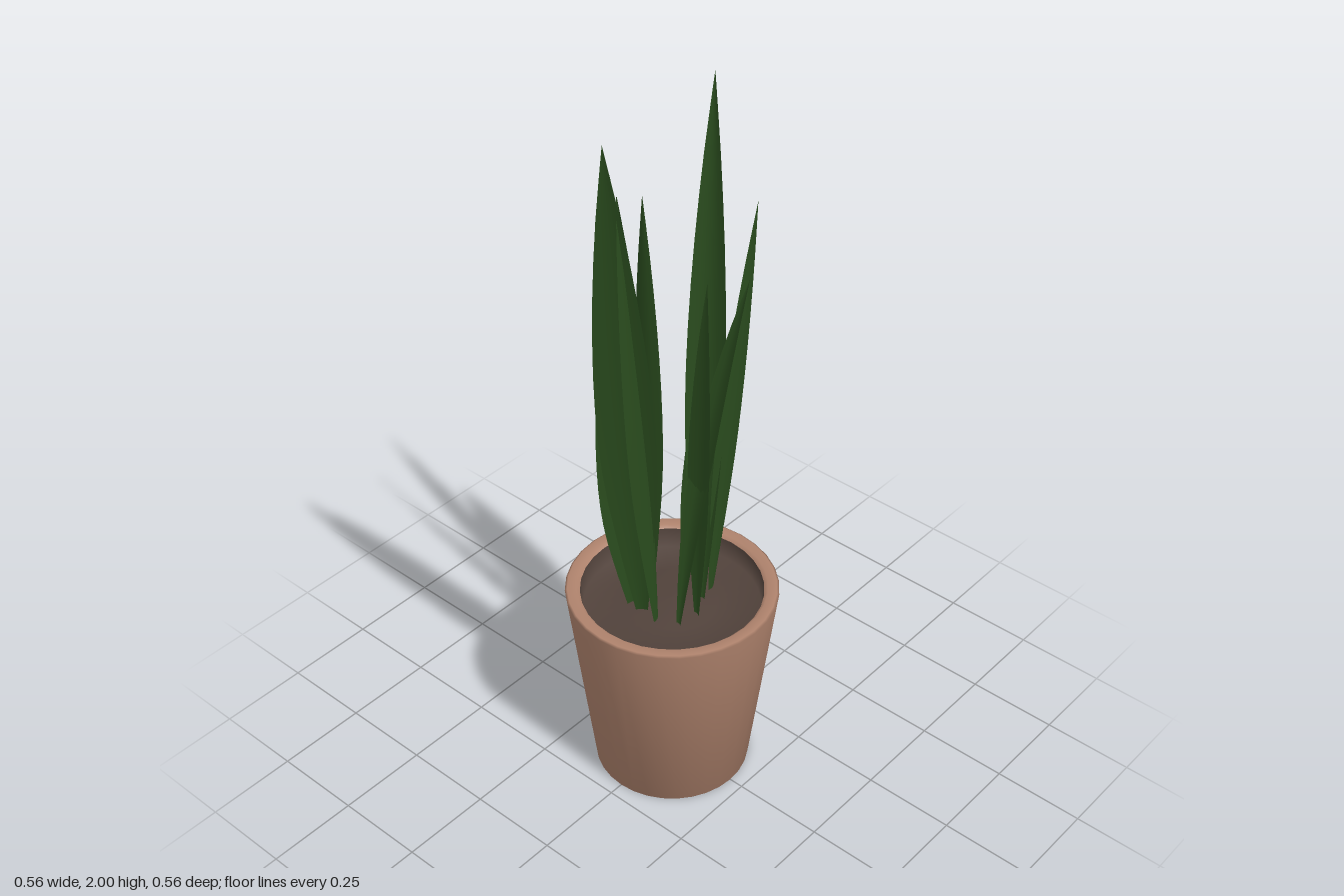
import * as THREE from 'three';

const terracotta = new THREE.MeshStandardMaterial({ color: 0xae826c });
terracotta.name = 'terracotta';
const earth = new THREE.MeshStandardMaterial({ color: 0x51423b });
earth.name = 'earth';
const leafGreen = new THREE.MeshStandardMaterial({ color: 0x2a4c1e, side: THREE.DoubleSide });
leafGreen.name = 'leafGreen';

const LEAF_FOOT_Y = 0.53;

function lathe(points, material, name) {
  const profile = points.map(([r, y]) => new THREE.Vector2(r, y));
  const mesh = new THREE.Mesh(new THREE.LatheGeometry(profile, 32), material);
  mesh.name = name;
  return mesh;
}

// Half-width of a blade along its length: narrow foot, full middle, pointed tip
const outline = new THREE.SplineCurve([
  [0, 0.22], [0.15, 0.6], [0.32, 0.94], [0.48, 1], [0.66, 0.82], [0.84, 0.46], [1, 0],
].map(([t, w]) => new THREE.Vector2(t, w)));

// Cupped blade from a base [x, z] to a tip [x, y, z]; angle turns its width from +x towards +z,
// bow pushes the middle sideways by [x, z]
function leaf({ base, tip, width, angle, cup, bow = [0, 0] }) {
  const ROWS = 14, COLS = 4;
  const start = new THREE.Vector3(base[0], LEAF_FOOT_Y, base[1]);
  const end = new THREE.Vector3(...tip);
  const a = THREE.MathUtils.degToRad(angle);
  const across = new THREE.Vector3(Math.cos(a), 0, Math.sin(a));
  const facing = new THREE.Vector3(-Math.sin(a), 0, Math.cos(a));
  const bowed = new THREE.Vector3(bow[0], 0, bow[1]);
  const positions = [], indices = [];
  for (let i = 0; i <= ROWS; i++) {
    const { x: t, y } = outline.getPoint(i / ROWS);
    const w = Math.max(y, 0);
    const centre = start.clone().lerp(end, t).addScaledVector(bowed, 4 * t * (1 - t));
    for (let j = 0; j <= COLS; j++) {
      const s = (j / COLS) * 2 - 1;
      const p = centre.clone()
        .addScaledVector(across, s * w * width / 2)
        .addScaledVector(facing, cup * w * (s * s - 0.4));
      positions.push(p.x, p.y, p.z);
      if (i < ROWS && j < COLS) {
        const k = i * (COLS + 1) + j, up = k + COLS + 1;
        indices.push(k, k + 1, up, k + 1, up + 1, up);
      }
    }
  }
  const geometry = new THREE.BufferGeometry();
  geometry.setAttribute('position', new THREE.Float32BufferAttribute(positions, 3));
  geometry.setIndex(indices);
  geometry.computeVertexNormals();
  return new THREE.Mesh(geometry, leafGreen);
}

export function createModel() {
  const model = new THREE.Group();
  model.name = 'pottedPlant';

  // Tapered pot with a narrow rim, softly shaded across its edges
  model.add(lathe([
    [0, 0], [0.21, 0], [0.28, 0.576], [0.274, 0.58], [0.25, 0.58], [0.241, 0.572],
  ], terracotta, 'pot'));

  // Gently mounded soil, with the earth-stained inner wall above it
  model.add(lathe([[0.241, 0.572], [0.235, 0.515], [0.12, 0.532], [0, 0.538]], earth, 'soil'));

  // Upright blades
  const leaves = new THREE.Group();
  leaves.name = 'leaves';
  [
    // left group
    { base: [-0.085, -0.03], tip: [-0.27, 1.99, 0.04], width: 0.14, angle: 55, cup: 0.012 },
    { base: [-0.09, 0.025], tip: [-0.235, 1.86, 0.045], width: 0.105, angle: 165, cup: 0.01 },
    { base: [-0.08, -0.07], tip: [-0.185, 1.43, -0.06], width: 0.115, angle: 20, cup: 0.012 },
    // right group
    { base: [0.05, 0.055], tip: [0.14, 2, 0.005], width: 0.1, angle: 65, cup: 0.02 },
    { base: [0.11, -0.055], tip: [0.135, 1.43, 0.02], width: 0.115, angle: 5, cup: 0.018 },
    { base: [0.1, 0.05], tip: [0.15, 1.71, 0.13], width: 0.11, angle: -8, cup: -0.012 },
    // front leaning blade and its neighbour
    { base: [-0.065, 0.08], tip: [0.115, 1.52, 0.14], width: 0.08, angle: 105, cup: 0.015, bow: [0, -0.022] },
    { base: [-0.005, 0.09], tip: [0.02, 1.53, 0.09], width: 0.1, angle: 108, cup: 0.015 },
    // back pair
    { base: [0.03, -0.095], tip: [0.03, 1.65, -0.2], width: 0.125, angle: 100, cup: 0.012, bow: [0.008, 0] },
    { base: [0.005, -0.08], tip: [0.02, 1.69, -0.11], width: 0.1, angle: 95, cup: -0.01 },
  ].forEach((spec, i) => {
    const blade = leaf(spec);
    blade.name = `leaf${i + 1}`;
    leaves.add(blade);
  });
  model.add(leaves);

  return model;
}
